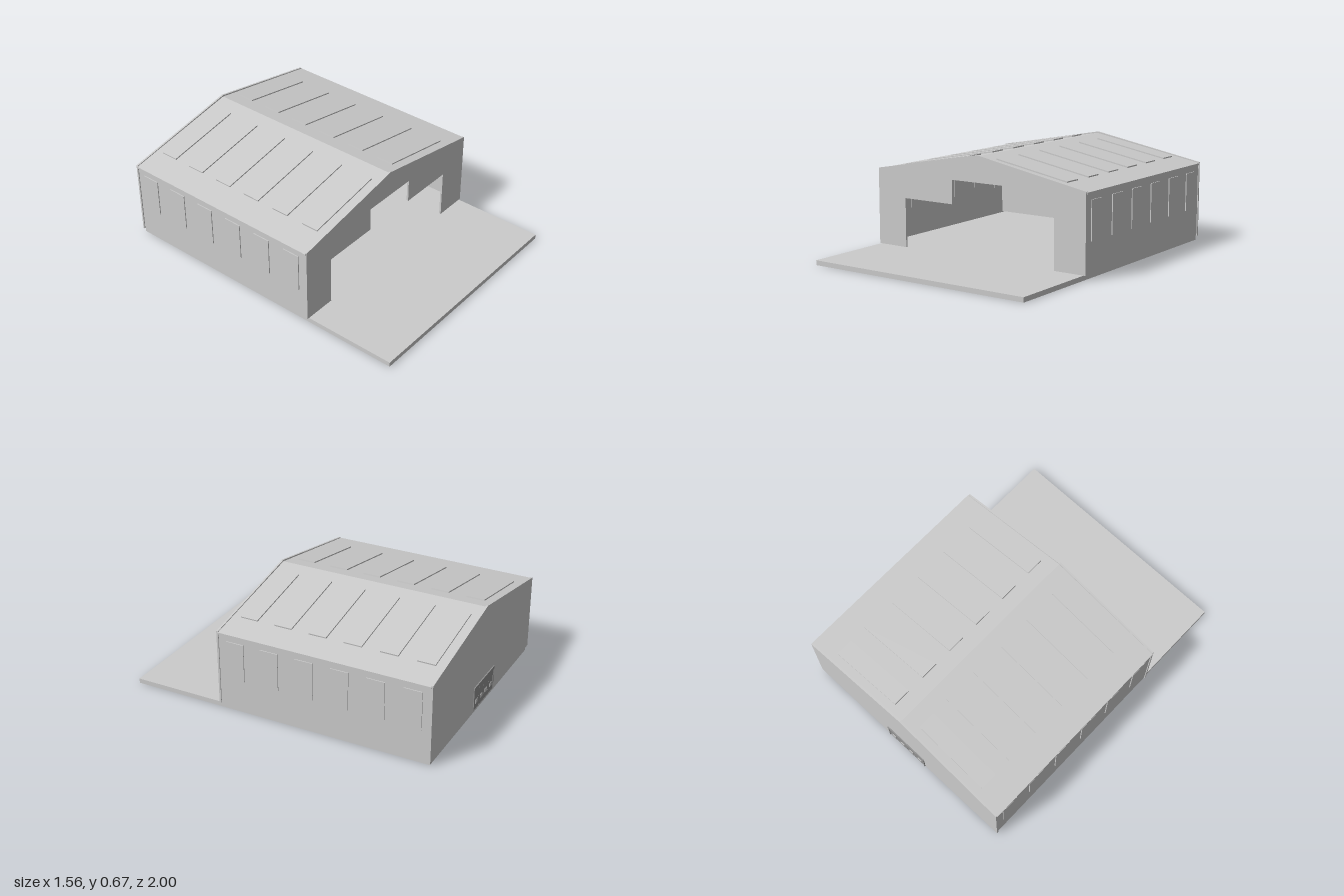
import * as THREE from 'three';

export function createModel() {
  const hangar = new THREE.Group();
  hangar.name = 'hangar';
  const grey = new THREE.MeshStandardMaterial({ color: 0xcccccc });
  const dark = new THREE.MeshStandardMaterial({ color: 0x919191 });

  function add(name, geometry, material = grey, parent = hangar) {
    const mesh = new THREE.Mesh(geometry, material);
    mesh.name = name;
    parent.add(mesh);
    return mesh;
  }
  // Box given by its lower and upper corners
  function box(name, x0, x1, y0, y1, z0, z1, material, parent) {
    const mesh = add(name, new THREE.BoxGeometry(x1 - x0, y1 - y0, z1 - z0), material, parent);
    mesh.position.set((x0 + x1) / 2, (y0 + y1) / 2, (z0 + z1) / 2);
    return mesh;
  }
  const outline = pts => new THREE.Shape(pts.map(p => new THREE.Vector2(...p)));
  // Outline in x-y, pushed from z0 to z1
  function slab(name, shape, z0, z1) {
    const geo = new THREE.ExtrudeGeometry(shape, { depth: z1 - z0, bevelEnabled: false });
    return add(name, geo.translate(0, 0, z0));
  }
  function group(name) {
    const g = new THREE.Group();
    g.name = name;
    hangar.add(g);
    return g;
  }

  const base = 0.03, front = 0.4, back = -0.993;

  // Ground slab with the apron in front
  box('floorSlab', -0.765, 0.765, 0, base, -0.985, 1);

  // Front gable, cut by the stepped doorway
  slab('frontGable', outline([
    [-0.778, base], [-0.56, base], [-0.56, 0.345], [-0.19, 0.345], [-0.19, 0.497], [0.19, 0.497],
    [0.19, 0.345], [0.56, 0.345], [0.56, base], [0.778, base], [0.778, 0.52], [0, 0.665], [-0.778, 0.52],
  ]), front - 0.012, front);

  // Back gable, with a hole for the rear door
  slab('backGable', outline([
    [-0.778, base], [-0.15, base], [-0.15, 0.18], [0.15, 0.18], [0.15, base],
    [0.778, base], [0.778, 0.52], [0, 0.665], [-0.778, 0.52],
  ]), back, back + 0.012);

  // Pitched roof
  slab('roof', outline([
    [0.782, 0.502], [0.782, 0.514], [0, 0.656], [-0.782, 0.514], [-0.782, 0.502], [0, 0.644],
  ]), back + 0.008, front - 0.008);

  // Side walls, wall windows and roof lights
  const pitch = Math.atan2(0.142, 0.782);
  for (const side of [-1, 1]) {
    const label = side > 0 ? 'left' : 'right';
    const wall = box(label + 'Wall', -0.006, 0.006, base, 0.508, back + 0.005, front - 0.005);
    wall.position.x = side * 0.766;
    const windows = group(label + 'Windows');
    const skylights = group(label + 'Skylights');
    for (let i = 0; i < 6; i++) {
      const z = 0.277 - 0.23 * i;
      const pane = box('wallWindow', -0.011, 0.011, 0.22, 0.465, z - 0.058, z + 0.058, grey, windows);
      pane.position.x = side * 0.767;
      const light = add('skylight', new THREE.BoxGeometry(0.515, 0.02, 0.115), grey, skylights);
      light.position.set(side * 0.352, 0.656 - 0.352 * Math.tan(pitch) - 0.002, z);
      light.rotation.z = -side * pitch;
    }
  }

  // Wall framing on the inside of the back gable, clear of the rear doorway
  const framing = group('backWallFraming');
  const step = 0.077, t = 0.003, f0 = back + 0.012, f1 = f0 + 0.007;
  for (let i = -9; i <= 9; i++) {
    const x = i * step;
    const low = Math.abs(i) < 4 ? 0.265 : base;
    box('stud', x - t, x + t, low, 0.64 - Math.abs(x) * 0.182, f0, f1, grey, framing);
  }
  for (let j = 0; j < 5; j++) {
    const y = 0.188 + j * step;
    if (j === 0) {
      box('rail', -0.76, -0.308, y - t, y + t, f0, f1, grey, framing);
      box('rail', 0.308, 0.76, y - t, y + t, f0, f1, grey, framing);
    } else {
      const half = y > 0.48 ? 0.73 : 0.76;
      box('rail', -half, half, y - t, y + t, f0, f1, grey, framing);
    }
  }
  for (const side of [-1, 1]) {
    box('lamp', side * 0.13 - 0.012, side * 0.13 + 0.012, 0.427, 0.433, f0, f1 + 0.015, dark, framing);
  }

  // Rear door: four leaves with a small pane each, under a thin canopy
  const door = group('rearDoor');
  for (let i = 0; i < 4; i++) {
    const x = -0.1125 + i * 0.075;
    box('doorLeaf', x - 0.037, x + 0.037, base, 0.18, back - 0.002, back + 0.015, dark, door);
    box('doorPane', x - 0.018, x + 0.018, 0.066, 0.092, back - 0.004, back + 0.017, grey, door);
  }
  for (const side of [-1, 1]) {
    box('doorPost', side * 0.152 - 0.004, side * 0.152 + 0.004, base, 0.18, back - 0.005, back + 0.018, dark, door);
  }
  box('doorCanopy', -0.158, 0.158, 0.17, 0.187, -1, back + 0.02, dark, door);

  return hangar;
}
